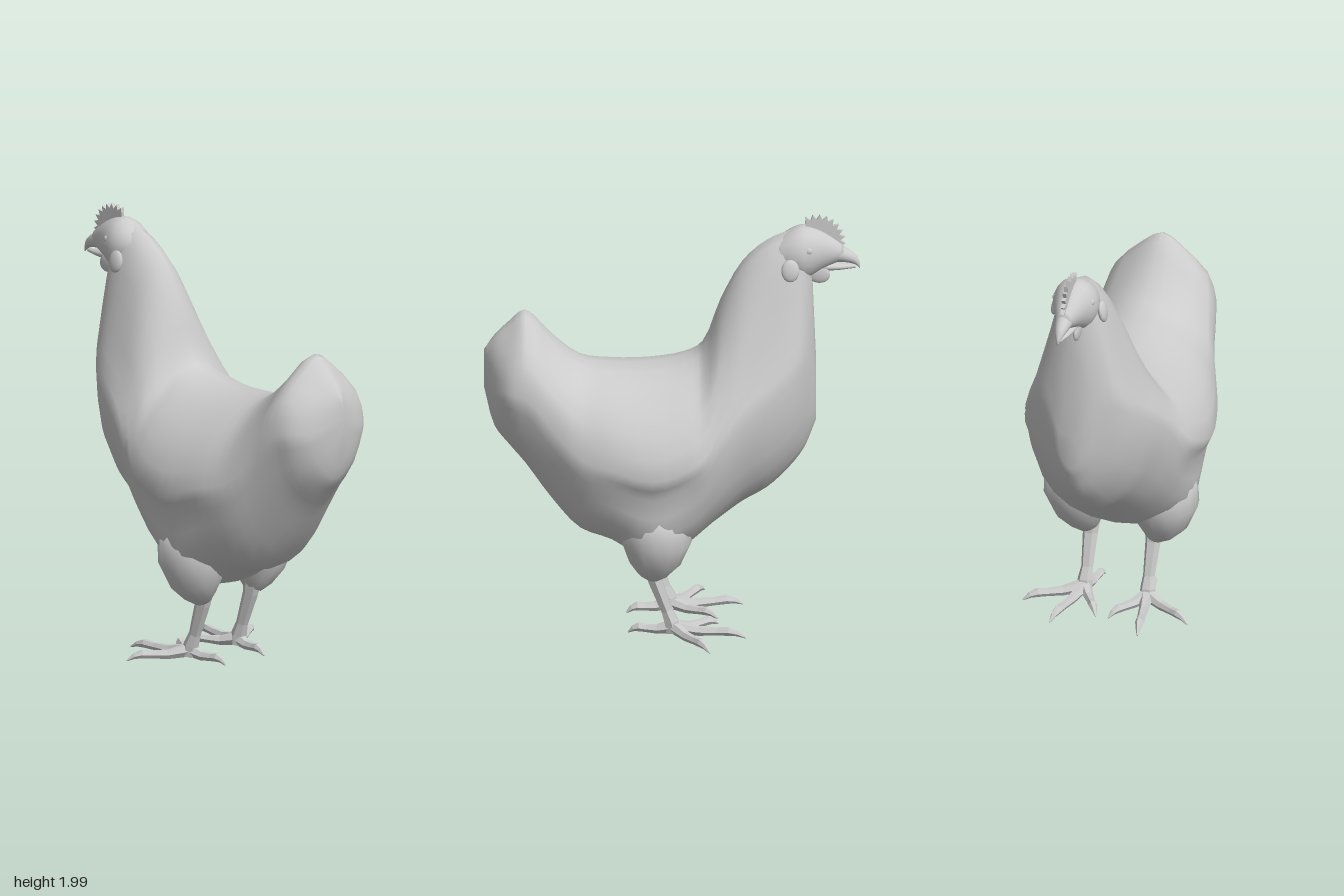
import * as THREE from 'three';

const V = (x, y, z) => new THREE.Vector3(x, y, z);
const material = new THREE.MeshStandardMaterial({ color: 0xcccccc });
const flatMaterial = new THREE.MeshStandardMaterial({ color: 0xcccccc, flatShading: true });

// Closed surface through a list of rings, with a fan at each end, facing outward
function skin(rings) {
  const n = rings[0].length, m = rings.length;
  const centre = r => r.reduce((a, p) => a.add(p), V(0, 0, 0)).divideScalar(n);
  const points = [...rings.flat(), centre(rings[0]), centre(rings[m - 1])];
  const faces = [];
  for (let j = 0; j < n; j++) {
    const k = (j + 1) % n;
    for (let i = 0; i < m - 1; i++) {
      const a = i * n + j, b = i * n + k;
      faces.push([a, b, b + n], [a, b + n, a + n]);
    }
    faces.push([m * n, k, j], [m * n + 1, (m - 1) * n + j, (m - 1) * n + k]);
  }
  // Signed volume tells whether the winding has to be turned round
  let volume = 0;
  for (const [a, b, c] of faces) volume += points[a].dot(points[b].clone().cross(points[c]));
  if (volume < 0) faces.forEach(f => f.reverse());
  const geometry = new THREE.BufferGeometry().setFromPoints(points);
  geometry.setIndex(faces.flat());
  geometry.computeVertexNormals();
  return geometry;
}

// Smooths coarse rings around and along before skinning
function smoothSkin(rings, around = 2, along = 3) {
  const fine = rings.map(r =>
    new THREE.CatmullRomCurve3(r, true, 'catmullrom').getPoints(r.length * around).slice(0, -1));
  const columns = fine[0].map((_, j) =>
    new THREE.CatmullRomCurve3(fine.map(r => r[j])).getPoints((rings.length - 1) * along));
  return skin(columns[0].map((_, i) => columns.map(c => c[i])));
}

// Tapered limb: rings of the given radii set square to a path
function limb(path, radii, sides, up) {
  return skin(path.map((p, i) => {
    const t = path[Math.min(i + 1, path.length - 1)].clone().sub(path[Math.max(i - 1, 0)]).normalize();
    const u = t.clone().cross(up).normalize(), v = u.clone().cross(t);
    return Array.from({ length: sides }, (_, k) => {
      const a = (k / sides) * Math.PI * 2;
      return p.clone().addScaledVector(u, Math.cos(a) * radii[i]).addScaledVector(v, Math.sin(a) * radii[i]);
    });
  }));
}

// Oval cross-sections [z, bottom, top, half width] for head and beak
const oval = ([z, bottom, top, w]) => Array.from({ length: 10 }, (_, k) => {
  const a = (k / 10) * Math.PI * 2;
  return V(w * Math.sin(a), (bottom + top) / 2 - Math.cos(a) * (top - bottom) / 2, z);
});

// Body slices from tail to breast: z, bottom, top, then half widths at the HEIGHTS
const HEIGHTS = [0.05, 0.2, 0.42, 0.54, 0.75, 0.93];
const BODY = [
  [0.858, 1.18, 1.36, 0.004, 0.006, 0.008, 0.008, 0.006, 0.004],
  [0.81, 0.99, 1.43, 0.05, 0.11, 0.15, 0.15, 0.12, 0.05],
  [0.75, 0.91, 1.49, 0.08, 0.17, 0.22, 0.23, 0.19, 0.07],
  [0.67, 0.81, 1.55, 0.09, 0.20, 0.25, 0.26, 0.22, 0.09],
  [0.55, 0.64, 1.43, 0.11, 0.22, 0.28, 0.29, 0.26, 0.12],
  [0.42, 0.50, 1.32, 0.15, 0.26, 0.33, 0.345, 0.30, 0.16],
  [0.28, 0.45, 1.295, 0.18, 0.31, 0.365, 0.395, 0.34, 0.18],
  [0.10, 0.36, 1.295, 0.22, 0.35, 0.37, 0.43, 0.365, 0.19],
  [-0.06, 0.43, 1.325, 0.20, 0.33, 0.37, 0.415, 0.34, 0.17],
  [-0.14, 0.49, 1.38, 0.18, 0.31, 0.37, 0.39, 0.30, 0.13],
  [-0.22, 0.55, 1.59, 0.17, 0.30, 0.36, 0.33, 0.22, 0.10],
  [-0.32, 0.62, 1.78, 0.15, 0.27, 0.33, 0.27, 0.185, 0.09],
  [-0.43, 0.68, 1.88, 0.13, 0.24, 0.285, 0.24, 0.16, 0.09],
  [-0.53, 0.77, 1.925, 0.10, 0.20, 0.235, 0.205, 0.14, 0.08],
  [-0.60, 0.86, 1.94, 0.07, 0.14, 0.17, 0.155, 0.11, 0.06],
  [-0.655, 1.0, 1.33, 0.03, 0.05, 0.06, 0.06, 0.05, 0.03],
];

function bodyRing([z, bottom, top, ...widths]) {
  const side = widths.map((w, i) => V(w, bottom + (top - bottom) * HEIGHTS[i], z));
  const mirrored = side.map(p => V(-p.x, p.y, z)).reverse();
  return [V(0, bottom, z), ...side, V(0, top, z), ...mirrored];
}

// Serrated comb standing along the crown
function combGeometry() {
  const shape = new THREE.Shape();
  const teeth = 9, start = 2.1, end = -0.2;
  shape.moveTo(0.61, 1.91);
  for (let i = 0; i <= teeth * 2; i++) {
    const a = start + ((end - start) * i) / (teeth * 2);
    const r = i % 2 ? 0.13 : 0.106;
    shape.lineTo(0.66 + Math.cos(a) * r, 1.87 + Math.sin(a) * r);
  }
  shape.lineTo(0.72, 1.85);
  const geometry = new THREE.ExtrudeGeometry(shape, { depth: 0.018, bevelEnabled: false });
  return geometry.translate(0, 0, -0.009).rotateY(Math.PI / 2);
}

export function createModel() {
  const model = new THREE.Group();
  model.name = 'hen';
  const add = (name, geometry, mat = material) => {
    const mesh = new THREE.Mesh(geometry, mat);
    mesh.name = name;
    model.add(mesh);
    return mesh;
  };
  const ball = (name, x, y, z, sx, sy, sz) => {
    const mesh = add(name, new THREE.SphereGeometry(1, 14, 10));
    mesh.position.set(x, y, z);
    mesh.scale.set(sx, sy, sz);
    return mesh;
  };

  add('body', smoothSkin(BODY.map(bodyRing)));

  // Head and beak
  add('head', smoothSkin([
    [-0.47, 1.75, 1.88, 0.07], [-0.54, 1.71, 1.93, 0.1], [-0.6, 1.69, 1.95, 0.105],
    [-0.68, 1.735, 1.925, 0.078], [-0.74, 1.765, 1.885, 0.052], [-0.78, 1.78, 1.855, 0.032],
  ].map(oval)));
  add('upperBeak', smoothSkin([
    [-0.73, 1.77, 1.87, 0.046], [-0.79, 1.768, 1.838, 0.034],
    [-0.835, 1.755, 1.805, 0.02], [-0.857, 1.735, 1.765, 0.005],
  ].map(oval)));
  add('lowerBeak', smoothSkin([
    [-0.68, 1.73, 1.78, 0.045], [-0.76, 1.732, 1.765, 0.03], [-0.835, 1.738, 1.754, 0.008],
  ].map(oval)));
  add('comb', combGeometry(), flatMaterial);

  for (const s of [1, -1]) {
    const side = s > 0 ? 'left' : 'right';

    // Face details
    ball(side + 'Eye', s * 0.088, 1.855, -0.62, 0.012, 0.017, 0.017);
    ball(side + 'Wattle', s * 0.035, 1.725, -0.665, 0.014, 0.044, 0.056).rotation.x = -0.3;
    const lobe = ball(side + 'EarLobe', s * 0.112, 1.77, -0.535, 0.018, 0.052, 0.042);
    lobe.rotation.z = s * 0.2;

    // Feathered thigh and shank
    add(side + 'Thigh', limb(
      [V(s * 0.2, 0.64, 0.07), V(s * 0.2, 0.5, 0.08), V(s * 0.19, 0.4, 0.085), V(s * 0.17, 0.34, 0.09), V(s * 0.155, 0.3, 0.09)],
      [0.16, 0.165, 0.125, 0.08, 0.04], 16, V(0, 0, 1)));
    add(side + 'Shank', limb(
      [V(s * 0.15, 0.36, 0.1), V(s * 0.15, 0.28, 0.083), V(s * 0.148, 0.13, 0.03), V(s * 0.15, 0.075, 0.008), V(s * 0.15, 0.025, 0)],
      [0.045, 0.036, 0.028, 0.036, 0.036], 6, V(0, 0, 1)), flatMaterial);

    // Toes with a knuckle and a down-turned claw
    const toes = { outerToe: [0.395, -0.16], middleToe: [0.21, -0.33], innerToe: [0.03, -0.21], backToe: [0.12, 0.205] };
    for (const [name, [x, z]] of Object.entries(toes)) {
      const at = (t, y) => V(s * (0.15 + (x - 0.15) * t), y, z * t);
      add(side + name[0].toUpperCase() + name.slice(1), limb(
        [at(0, 0.05), at(0.35, 0.034), at(0.6, 0.036), at(0.76, 0.04), at(0.88, 0.032), at(1, 0.012)],
        [0.032, 0.023, 0.019, 0.021, 0.014, 0.003], 6, V(0, 1, 0)), flatMaterial);
    }
  }
  return model;
}
